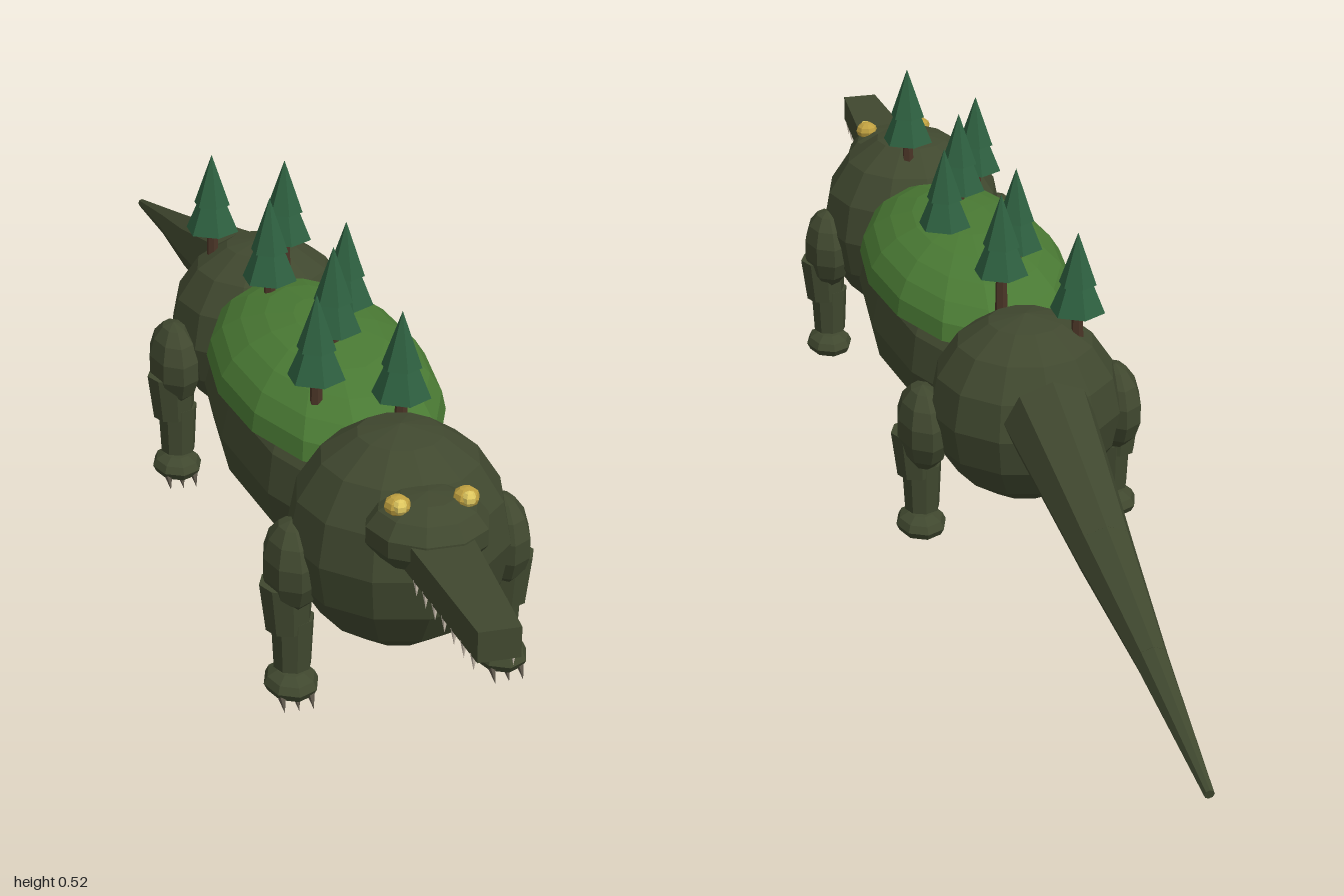
import * as THREE from 'three';

const mat = (name, color, side = THREE.FrontSide) => {
  const m = new THREE.MeshStandardMaterial({ color, flatShading: true, side });
  m.name = name;
  return m;
};

export function createModel() {
  const hide = mat('hide', 0x40482f);
  const moss = mat('moss', 0x4a7a34, THREE.DoubleSide);
  const needles = mat('needles', 0x2e6040);
  const bark = mat('bark', 0x4a3526);
  const gold = mat('gold', 0xbfa040);
  const paleGold = mat('paleGold', 0xe0c860);
  const ivory = mat('ivory', 0xd0c4b4);
  const horn = mat('horn', 0x5a5348);

  const model = new THREE.Group();
  model.name = 'forestCrocodile';

  const add = (parent, name, geo, material, x, y, z) => {
    const mesh = new THREE.Mesh(geo, material);
    mesh.name = name;
    mesh.position.set(x, y, z);
    parent.add(mesh);
    return mesh;
  };
  const ellipsoid = (rx, ry, rz, w = 12, h = 8) => new THREE.SphereGeometry(1, w, h).scale(rx, ry, rz);

  // Tapered cylinder running between two points
  const limb = (parent, name, a, b, ra, rb, sides = 8) => {
    const from = new THREE.Vector3(...a), to = new THREE.Vector3(...b);
    const dir = to.clone().sub(from);
    const mid = from.clone().add(to).multiplyScalar(0.5);
    const mesh = add(parent, name, new THREE.CylinderGeometry(rb, ra, dir.length(), sides), hide, mid.x, mid.y, mid.z);
    mesh.quaternion.setFromUnitVectors(new THREE.Vector3(0, 1, 0), dir.normalize());
    return mesh;
  };

  // Trunk of the body
  add(model, 'belly', ellipsoid(0.152, 0.137, 0.37), hide, 0, 0.215, 0.22);
  add(model, 'chest', ellipsoid(0.152, 0.157, 0.153), hide, 0, 0.235, 0.588);
  add(model, 'hips', ellipsoid(0.143, 0.143, 0.143), hide, 0, 0.226, -0.132);
  const mossCap = new THREE.SphereGeometry(1, 14, 6, 0, Math.PI * 2, 0, Math.PI / 2).scale(0.156, 0.1, 0.305);
  add(model, 'mossBack', mossCap, moss, 0, 0.286, 0.22);

  // Tail in three tapering sections
  const tail = [[-0.265, 0.261, 0.067], [-0.54, 0.193, 0.043], [-0.76, 0.147, 0.023], [-0.999, 0.093, 0.007]];
  for (let i = 0; i < 3; i++) {
    const [z0, y0, r0] = tail[i], [z1, y1, r1] = tail[i + 1];
    limb(model, 'tailSection', [0, y0, z0], [0, y1, z1], r0, r1);
  }

  // Head and snout, the snout narrowing to the front
  const head = new THREE.Group();
  head.name = 'head';
  model.add(head);
  add(head, 'skull', ellipsoid(0.085, 0.052, 0.083, 10, 7), hide, 0, 0.301, 0.71);
  const snoutHalf = z => 0.028 + (1 - z) * 0.064;
  const snout = new THREE.BoxGeometry(2, 0.042, 0.26).translate(0, 0.289, 0.87);
  const p = snout.attributes.position;
  for (let i = 0; i < p.count; i++) p.setX(i, p.getX(i) * snoutHalf(p.getZ(i)));
  add(head, 'snout', snout, hide, 0, 0, 0);

  for (const s of [-1, 1]) {
    // Eyes
    add(head, 'eye', ellipsoid(0.018, 0.014, 0.018, 8, 6), gold, s * 0.046, 0.347, 0.727);
    add(head, 'eyeGlint', ellipsoid(0.011, 0.011, 0.011, 6, 5), paleGold, s * 0.046, 0.349, 0.737);
    // Teeth along the snout edge
    for (let i = 0; i < 7; i++) {
      const z = 0.98 - i * 0.032;
      const tooth = add(head, 'tooth', new THREE.ConeGeometry(0.005, 0.024, 5), ivory, s * (snoutHalf(z) - 0.004), 0.258, z);
      tooth.rotation.x = Math.PI;
    }
  }

  // Legs
  const legs = [['foreLeg', 0.588, 0.2], ['hindLeg', -0.087, 0.192]];
  for (const [name, z, shoulderY] of legs) {
    for (const s of [-1, 1]) {
      const leg = new THREE.Group();
      leg.name = name;
      model.add(leg);
      const thigh = name === 'hindLeg';
      add(leg, 'shoulder', ellipsoid(0.039, 0.066, thigh ? 0.066 : 0.058, 8, 7), hide, s * 0.147, shoulderY, thigh ? z - 0.014 : z - 0.005);
      limb(leg, 'upperLeg', [s * 0.155, 0.18, z], [s * 0.152, 0.11, z], 0.037, 0.031);
      limb(leg, 'lowerLeg', [s * 0.146, 0.125, z], [s * 0.146, 0.05, z], 0.03, 0.026);
      add(leg, 'foot', ellipsoid(0.038, 0.021, 0.048, 8, 6), hide, s * 0.148, 0.026, z);
      for (const dx of [-0.02, 0, 0.02]) {
        const claw = add(leg, 'claw', new THREE.ConeGeometry(0.006, 0.022, 5), horn, s * 0.148 + dx, 0.011, z + 0.036);
        claw.rotation.x = Math.PI * 0.78;
      }
    }
  }

  // Fir trees along the back: x, z, foliage base, tip
  const trees = [
    [0.021, 0.523, 0.4, 0.522], [-0.064, 0.408, 0.385, 0.507], [-0.008, 0.293, 0.4, 0.524],
    [0.043, 0.18, 0.388, 0.512], [-0.04, 0.068, 0.388, 0.514], [0.014, -0.05, 0.4, 0.523], [-0.07, -0.162, 0.378, 0.499],
  ];
  for (const [x, z, base, tip] of trees) {
    const tree = new THREE.Group();
    tree.name = 'firTree';
    tree.position.set(x, base, z);
    model.add(tree);
    const h = tip - base;
    add(tree, 'treeTrunk', new THREE.CylinderGeometry(0.008, 0.01, 0.08, 6), bark, 0, -0.035, 0);
    add(tree, 'lowerBranches', new THREE.ConeGeometry(0.041, h * 0.8, 6), needles, 0, h * 0.4, 0);
    add(tree, 'upperBranches', new THREE.ConeGeometry(0.028, h * 0.65, 6), needles, 0, h * 0.675, 0);
  }

  return model;
}
